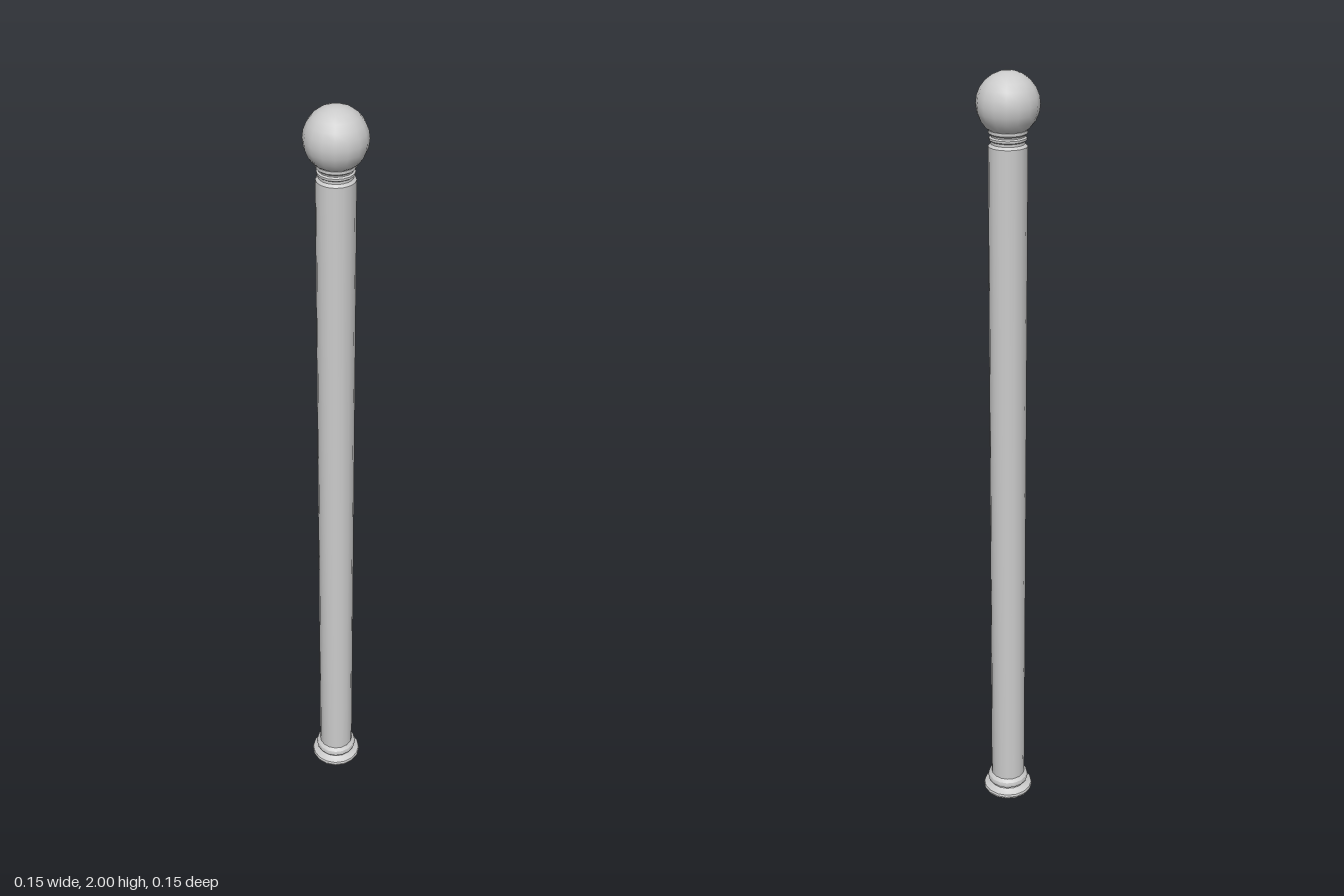
import * as THREE from 'three';
import { toCreasedNormals } from 'three/addons/utils/BufferGeometryUtils.js';

const SIDES = 16;
const material = new THREE.MeshStandardMaterial({ color: 0xcccccc });

// Turned part from [radius, height] pairs, listed bottom to top
function turned(name, profile) {
  const points = profile.map(([r, y]) => new THREE.Vector2(r, y));
  // Quarter turn offset puts a corner on each axis
  const geometry = toCreasedNormals(new THREE.LatheGeometry(points, SIDES), Math.PI / 6);
  const mesh = new THREE.Mesh(geometry, material);
  mesh.name = name;
  return mesh;
}

export function createModel() {
  const post = new THREE.Group();
  post.name = 'post';

  // Stepped foot: wide flange, narrow groove, rounded ring
  post.add(turned('base', [
    [0, 0], [0.066, 0], [0.068, 0.006], [0.066, 0.012], [0.053, 0.018],
    [0.049, 0.022], [0.049, 0.026], [0.054, 0.029], [0.056, 0.036],
    [0.054, 0.044], [0.046, 0.052],
  ]));

  // Long straight shaft
  post.add(turned('shaft', [[0.046, 0.052], [0.046, 1.83]]));

  // Grooved collar under the ball
  post.add(turned('collar', [
    [0.046, 1.83], [0.04, 1.836], [0.04, 1.842], [0.044, 1.845],
    [0.044, 1.85], [0.04, 1.853], [0.041, 1.857], [0.046, 1.861],
    [0.046, 1.868], [0.038, 1.874],
  ]));

  // Ball finial
  const ball = new THREE.Mesh(new THREE.SphereGeometry(0.074, SIDES, 12), material);
  ball.name = 'ballFinial';
  ball.position.y = 1.926;
  post.add(ball);

  return post;
}
